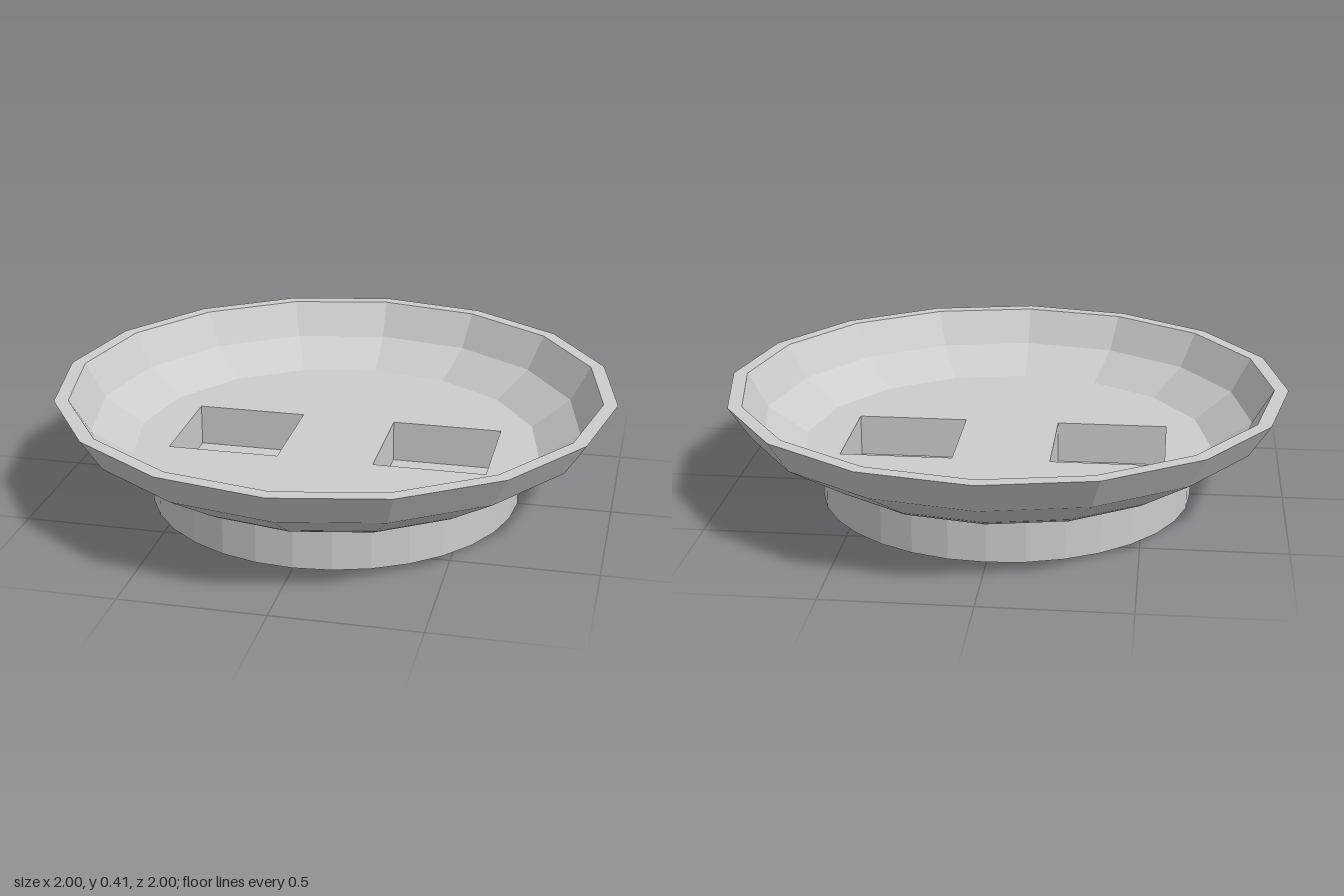
import * as THREE from 'three';

const POCKET_X = 0.373; // distance of each pocket from the centre line

// Regular polygon outline with a corner on each axis
function polygon(radius, sides) {
  const pts = [];
  for (let i = 0; i < sides; i++) {
    const a = (i / sides) * Math.PI * 2;
    pts.push(new THREE.Vector2(Math.cos(a) * radius, Math.sin(a) * radius));
  }
  return new THREE.Shape(pts);
}

// Horizontal slab from y0 to y1, with one rectangular opening on each side
function slab(radius, sides, y0, y1, halfWidth, z0, z1) {
  const shape = polygon(radius, sides);
  for (const side of [-1, 1]) {
    const a = side * POCKET_X - halfWidth, b = side * POCKET_X + halfWidth;
    shape.holes.push(new THREE.Path([
      new THREE.Vector2(a, -z0), new THREE.Vector2(b, -z0),
      new THREE.Vector2(b, -z1), new THREE.Vector2(a, -z1),
    ]));
  }
  const geo = new THREE.ExtrudeGeometry(shape, { depth: y1 - y0, bevelEnabled: false });
  geo.rotateX(-Math.PI / 2);
  geo.translate(0, y0, 0);
  return geo;
}

export function createModel() {
  const group = new THREE.Group();
  group.name = 'dish';
  const grey = new THREE.MeshStandardMaterial({ color: 0xcccccc });
  grey.name = 'light grey';

  const add = (name, geo) => {
    const mesh = new THREE.Mesh(geo, grey);
    mesh.name = name;
    group.add(mesh);
  };

  // Faceted bowl wall: underside, rim and inner face
  const profile = [
    [0.66, 0.14], [0.705, 0.152], [0.924, 0.289], [1, 0.406],
    [0.95, 0.406], [0.878, 0.282], [0.735, 0.187],
  ].map(([r, y]) => new THREE.Vector2(r, y));
  const bowl = new THREE.LatheGeometry(profile, 16).toNonIndexed();
  bowl.computeVertexNormals();
  add('bowlWall', bowl);

  // Bowl floor and foot, stacked so the openings form pockets, cable slots and outlets
  add('bowlFloor', slab(0.735, 16, 0.17, 0.187, 0.2, -0.21, 0.19));
  add('pocketLayer', slab(0.667, 32, 0.035, 0.17, 0.2, -0.21, 0.19));
  add('slotLayer', slab(0.667, 32, 0.012, 0.035, 0.042, -0.04, 0.26));
  add('footBottom', slab(0.667, 32, 0, 0.012, 0.042, 0.18, 0.26));

  return group;
}
